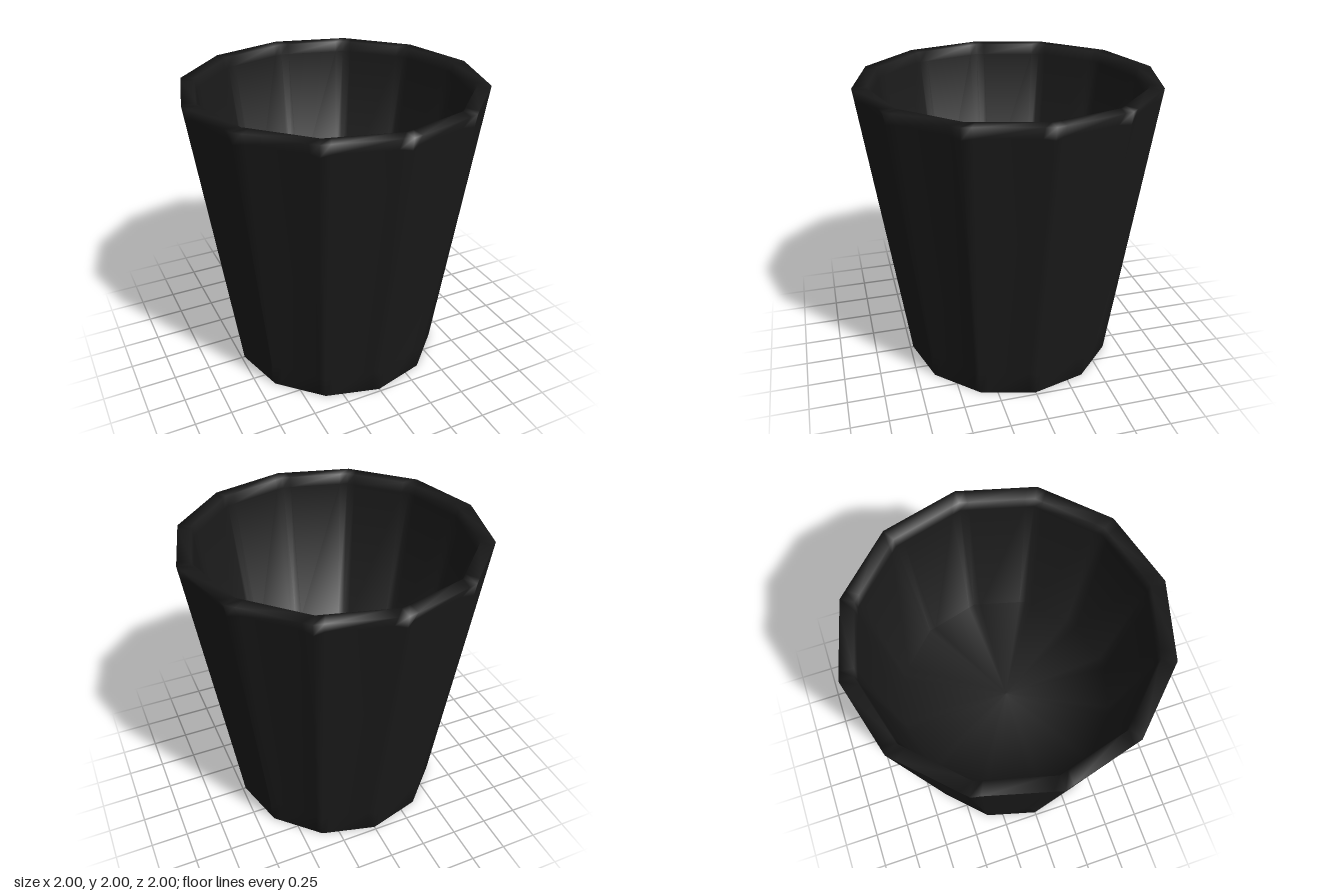
import * as THREE from 'three';

const SIDES = 12;
const RIB = 0.12; // share of each side taken by the rib slope at its corner

// Unit twelve-sided outline: every corner is followed by two panel points
function outline() {
  const corner = (k) => {
    const a = (k / SIDES) * Math.PI * 2;
    return new THREE.Vector2(Math.cos(a), Math.sin(a));
  };
  const points = [];
  for (let k = 0; k < SIDES; k++) {
    const a = corner(k), b = corner(k + 1);
    for (const t of [0, RIB, 1 - RIB]) points.push(a.clone().lerp(b, t));
  }
  return points;
}

// Sweep a [radius, height, panel recess] profile around the outline
function facetedLathe(profile) {
  const section = outline();
  const n = section.length;
  const positions = [], index = [];
  for (const [r, y, recess = 0] of profile) {
    section.forEach((p, k) => {
      const s = k % 3 === 0 ? r : r - recess;
      positions.push(p.x * s, y, p.y * s);
    });
  }
  for (let i = 0; i < profile.length - 1; i++) {
    for (let j = 0; j < n; j++) {
      const a = i * n + j, b = i * n + ((j + 1) % n);
      const c = a + n, d = b + n;
      if (profile[i][0] > 0) index.push(a, c, b);
      if (profile[i + 1][0] > 0) index.push(b, c, d);
    }
  }
  const geometry = new THREE.BufferGeometry();
  geometry.setAttribute('position', new THREE.Float32BufferAttribute(positions, 3));
  geometry.setIndex(index);
  geometry.computeVertexNormals();
  return geometry;
}

export function createModel() {
  const group = new THREE.Group();
  group.name = 'taperedTub';
  const material = new THREE.MeshStandardMaterial({ color: 0x1a1a1a });

  // Hollowed underside, wall with sunken panels, flat rim, inner wall and floor
  const tub = new THREE.Mesh(facetedLathe([
    [0, 0.08], [0.67, 0.08], [0.68, 0], [0.73, 0],
    [0.751, 0.16, 0.03], [0.989, 1.92, 0.03], [1, 2],
    [0.91, 2], [0.9, 1.93], [0.75, 0.9], [0, 0.9],
  ]), material);
  tub.name = 'tubBody';
  group.add(tub);
  return group;
}
